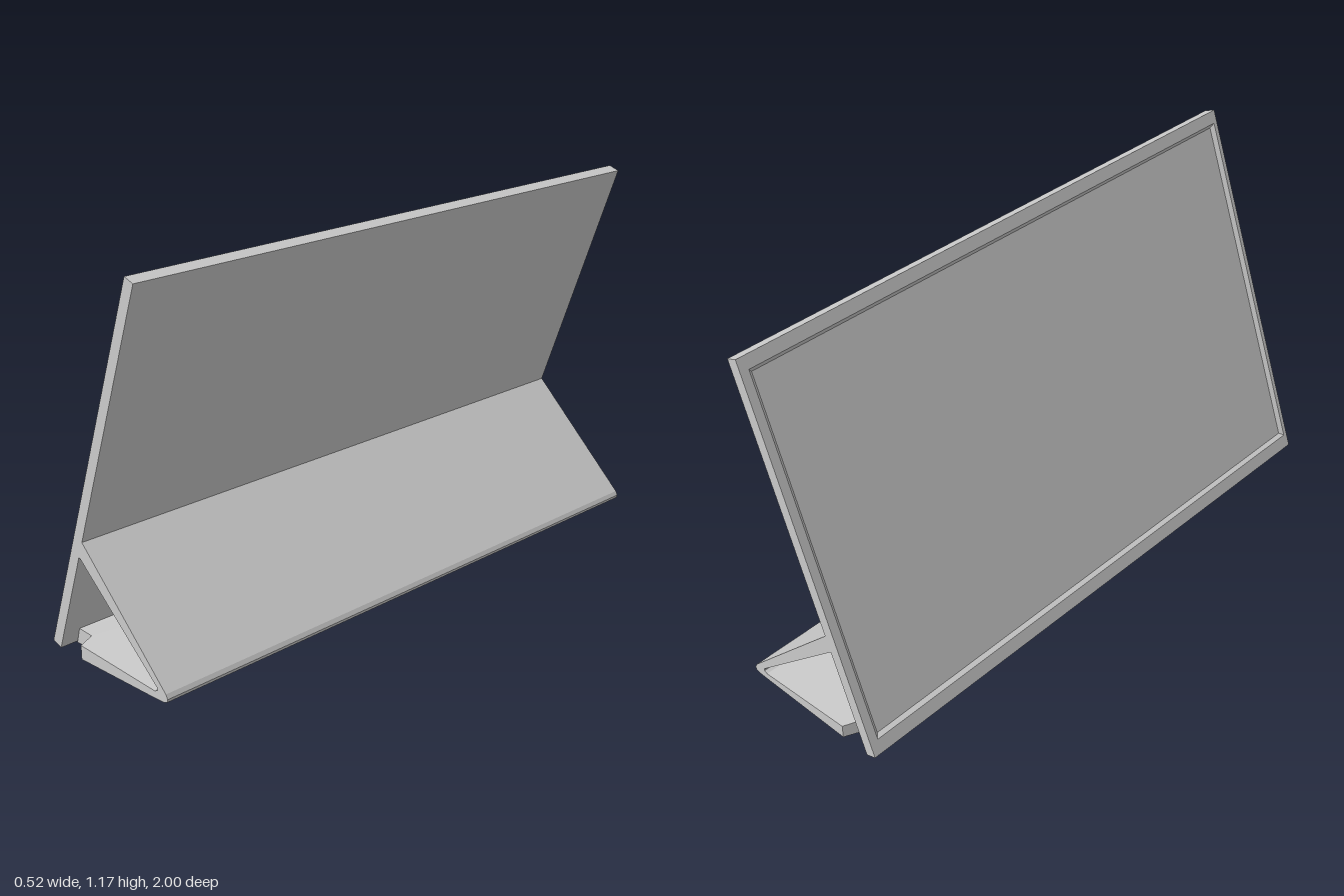
import * as THREE from 'three';

const material = new THREE.MeshStandardMaterial({ color: 0xcccccc });

const shapeFrom = (pts) => new THREE.Shape(pts.map(([x, y]) => new THREE.Vector2(x, y)));
const extrude = (shape, depth) => new THREE.ExtrudeGeometry(shape, { depth, bevelEnabled: false });
const rect = (x0, y0, x1, y1) => [[x0, y0], [x1, y0], [x1, y1], [x0, y1]];

function part(name, geometry, parent) {
  const mesh = new THREE.Mesh(geometry, material);
  mesh.name = name;
  parent.add(mesh);
  return mesh;
}

// Move every vertex by a rule, then refresh the normals
function reshape(geometry, rule) {
  const p = geometry.attributes.position;
  const v = new THREE.Vector3();
  for (let i = 0; i < p.count; i++) {
    v.fromBufferAttribute(p, i);
    rule(v);
    p.setXYZ(i, v.x, v.y, v.z);
  }
  geometry.computeVertexNormals();
  return geometry;
}

// Leaning display: back slab plus a raised rim with sloping inner walls
function createDisplay() {
  const display = new THREE.Group();
  display.name = 'display';
  const height = 1.234, slab = 0.026, rim = 0.011, slope = 0.012;
  const outer = rect(-1, 0, 1, height);
  part('displayBack', extrude(shapeFrom(outer), slab), display);

  const frame = shapeFrom(outer);
  const [l, b, r, t] = [-0.972, 0.045, 0.985, height - 0.04];
  frame.holes.push(new THREE.Path(rect(l, b, r, t).reverse().map(([x, y]) => new THREE.Vector2(x, y))));
  const frameGeometry = reshape(extrude(frame, rim), (v) => {
    const inner = Math.abs(v.x) < 0.99 && v.y > 0.02 && v.y < height - 0.02;
    if (inner && v.z < rim / 2) {
      v.x -= Math.sign(v.x) * slope;
      v.y += v.y < height / 2 ? slope : -slope;
    }
  });
  part('displayRim', frameGeometry, display).position.z = slab;

  // Width runs along z, the screen looks towards -x and leans back
  const up = new THREE.Vector3(0.42, 1.16, 0).normalize();
  const out = new THREE.Vector3(-up.y, up.x, 0);
  const basis = new THREE.Matrix4().makeBasis(new THREE.Vector3(0, 0, 1), up, out);
  display.quaternion.setFromRotationMatrix(basis);
  display.position.set(-0.225, 0.002, 0);
  return display;
}

// Folded stand: tapered base plate and a sloping strut meeting at a rounded toe
function createStand() {
  const stand = new THREE.Group();
  stand.name = 'stand';

  const strut = shapeFrom([
    [-0.091, 0.375], [-0.112, 0.325], [-0.104, 0.322], [0.218, 0.047], [0.219, 0.039], [0.208, 0.033],
    [0.208, 0.011], [0.245, 0.013], [0.259, 0.018], [0.262, 0.028], [0.255, 0.041],
  ].reverse());
  part('strut', extrude(strut, 2).translate(0, 0, -1), stand);

  // Plan outline with chamfered corners and a narrower tab at the display
  const plan = shapeFrom([
    [0.208, 1], [-0.125, 1], [-0.15, 0.945], [-0.222, 0.945],
    [-0.222, -0.945], [-0.15, -0.945], [-0.125, -1], [0.208, -1],
  ]);
  const plate = extrude(plan, 1).rotateX(-Math.PI / 2);
  reshape(plate, (v) => {
    const k = (v.x + 0.222) / 0.43;
    const top = v.y > 0.5;
    v.y = top ? 0.05 - 0.017 * k : 0.011 * k;
    if (top && v.x < -0.2) v.x = -0.207;
  });
  part('basePlate', plate, stand);
  return stand;
}

export function createModel() {
  const model = new THREE.Group();
  model.name = 'tabletDisplay';
  model.add(createDisplay(), createStand());
  return model;
}
